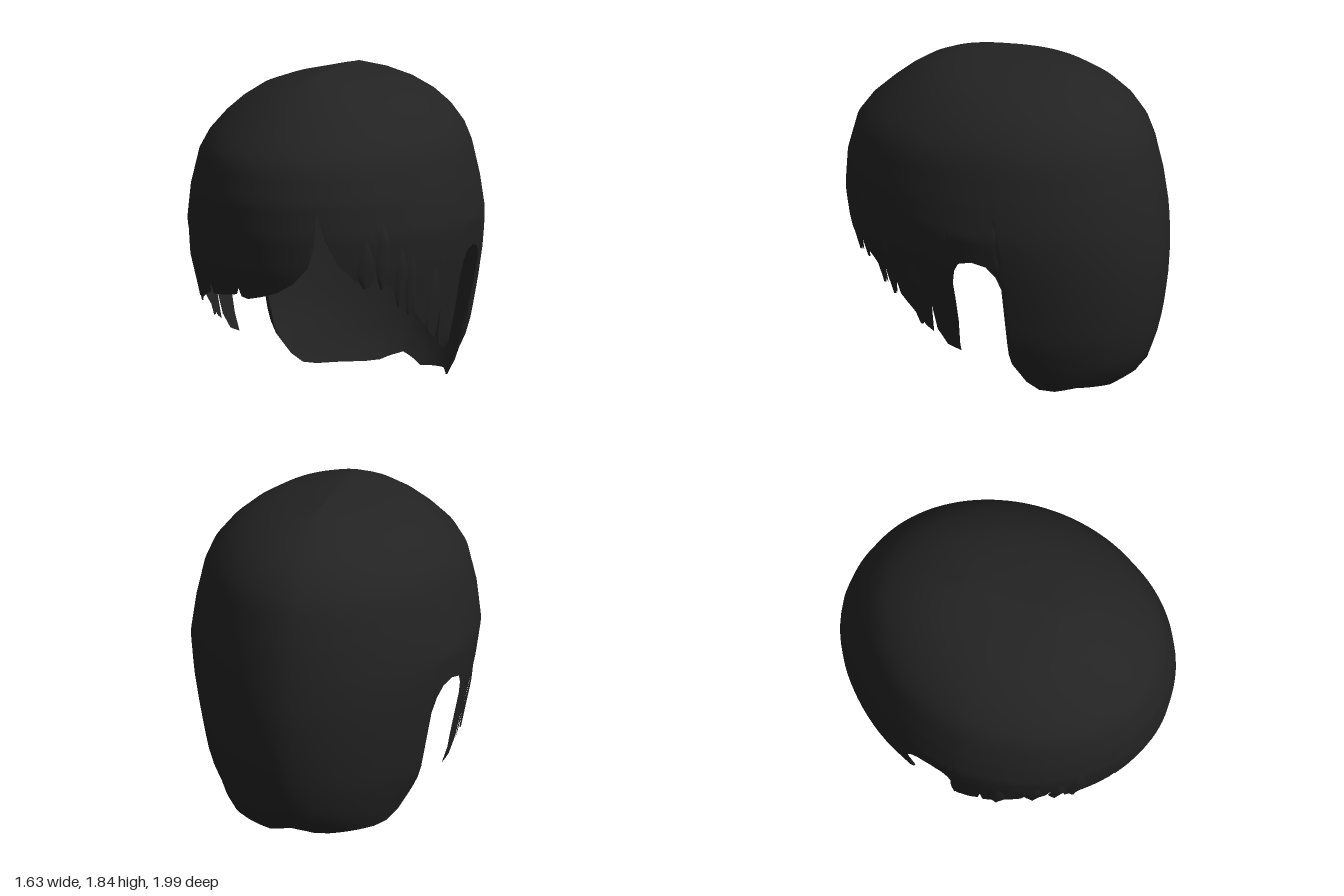
import * as THREE from 'three';

// Horizontal rings from crown down: [height, half width, front depth, back depth]
const RINGS = [
  [1.85, 0, 0.14, 0.27], [1.84, 0.1, 0.3, 0.31], [1.8, 0.28, 0.43, 0.46], [1.75, 0.42, 0.54, 0.58],
  [1.68, 0.53, 0.65, 0.7], [1.6, 0.62, 0.75, 0.79], [1.5, 0.7, 0.86, 0.86], [1.4, 0.745, 0.935, 0.9],
  [1.2, 0.79, 0.99, 0.95], [1.0, 0.817, 1.0, 0.98], [0.8, 0.79, 0.98, 0.995], [0.6, 0.75, 0.93, 0.985],
  [0.45, 0.72, 0.9, 0.965], [0.3, 0.69, 0.87, 0.935], [0.2, 0.635, 0.8, 0.9], [0.1, 0.58, 0.6, 0.86],
  [0, 0.51, 0.29, 0.76],
];

// Hem heights as [angle in degrees, height]; 0 is the front, positive is the left side
const FRINGE = [
  [-56, 0.57], [-53, 0.56], [-52.2, 0.66], [-51, 0.54], [-45, 0.57], [-33, 0.625], [-31.5, 0.68],
  [-30, 0.62], [-20, 0.635], [-13, 0.65], [-11.5, 0.69], [-10.5, 0.64], [-7, 0.63], [0, 0.65], [7.5, 0.68],
  [15, 0.74], [21, 0.83], [23.5, 0.95], [24.9, 1.17], [28.5, 0.98], [33, 0.85], [40, 0.75], [46, 0.7],
  [47, 0.74], [48, 0.88], [49, 0.74], [54, 0.7],
];
// From the temple, round the ear opening, to the lower back corner
const SIDE = [
  [57, 0.66], [57.6, 0.76], [58.5, 0.62], [60.5, 0.57], [61.3, 0.7], [62.5, 0.56], [65, 0.53], [66, 0.6],
  [67, 0.53], [72, 0.46], [78, 0.37], [81, 0.345], [81.8, 0.52], [82.8, 0.37], [86, 0.28], [91, 0.25],
  [92, 0.3], [92.4, 0.45], [92.6, 0.7], [94, 0.78], [96, 0.83], [101, 0.85], [106, 0.83], [109, 0.77],
  [110.6, 0.68], [110.8, 0.2], [112, 0.08], [116, 0.025], [125, 0.01],
];
const BACK_LEFT = [[138, 0.03], [152, 0.02], [163, 0.01], [172, 0.04], [180, 0.065]];
const BACK_RIGHT = [[-180, 0.065], [-172, 0.04], [-167, 0.02], [-157, 0.01]];

function ringAt(y) {
  let i = 0;
  while (i < RINGS.length - 2 && RINGS[i + 1][0] > y) i++;
  const a = RINGS[i], b = RINGS[i + 1];
  const t = (a[0] - y) / (a[0] - b[0]);
  return a.map((v, k) => v + (b[k] - v) * t);
}

// Point on the scalp-shaped shell
function shellPoint(deg, y, lift = 0) {
  const a = THREE.MathUtils.degToRad(deg), s = Math.sin(a), c = Math.cos(a);
  const [, w, f, b] = ringAt(y);
  const k = s < 0 && c < 0 ? 1 - 0.05 * Math.abs(Math.sin(2 * a)) : 1;
  return [(w * k + lift) * s, y, (f - b) / 2 + ((f + b) / 2 * k + lift) * c];
}

// Smooth sheet from columns of points; the last column may join the first
function sheet(columns, closed) {
  const rows = columns[0].length, n = columns.length, index = [];
  for (let i = 0; i < (closed ? n : n - 1); i++) {
    for (let j = 0; j < rows - 1; j++) {
      const a = i * rows + j, d = ((i + 1) % n) * rows + j;
      index.push(a, a + 1, d + 1, a, d + 1, d);
    }
  }
  const g = new THREE.BufferGeometry();
  g.setAttribute('position', new THREE.Float32BufferAttribute(columns.flat(2), 3));
  g.setIndex(index);
  g.computeVertexNormals();
  return g;
}

// Hair cap: fixed rows on the dome, then rows that stretch to the hem
function capGeometry() {
  const mirrored = SIDE.map(([a, y]) => [-a, y]).reverse();
  const hem = [...BACK_RIGHT, ...mirrored, ...FRINGE, ...SIDE, ...BACK_LEFT];
  const dome = [1.85, 1.84, 1.82, 1.8, 1.775, 1.75, 1.715, 1.68, 1.64, 1.6, 1.55, 1.5, 1.45, 1.4, 1.33, 1.26];
  const columns = [];
  for (let i = 0; i < hem.length - 1; i++) {
    const [a0, y0] = hem[i], [a1, y1] = hem[i + 1];
    const steps = Math.max(1, Math.ceil((a1 - a0) / 4));
    for (let s = 0; s < steps; s++) {
      const t = s / steps, deg = a0 + (a1 - a0) * t, low = y0 + (y1 - y0) * t;
      const heights = [...dome];
      for (let r = 0; r <= 14; r++) heights.push(1.2 + (low - 1.2) * r / 14);
      columns.push(heights.map((y) => shellPoint(deg, y)));
    }
  }
  return sheet(columns, true);
}

// Overlapping lock: rooted in the cap, widest midway, tapering to a tip
function lockGeometry(deg, width, top, tip) {
  const columns = [];
  for (let i = 0; i <= 6; i++) {
    const u = i / 3 - 1, column = [];
    for (let j = 0; j <= 10; j++) {
      const v = j / 10;
      const half = width / 2 * Math.sin(Math.PI * (0.06 + 0.88 * Math.pow(v, 1.4)));
      const lift = -0.004 + 0.016 * Math.min(1, v * 3) * (1 - 0.5 * u * u);
      column.push(shellPoint(deg + u * half, top + (tip - top) * v, lift));
    }
    columns.push(column);
  }
  return sheet(columns, false);
}

export function createModel() {
  const model = new THREE.Group();
  model.name = 'hair';
  const black = new THREE.MeshStandardMaterial({ color: 0x232323, side: THREE.DoubleSide });
  black.name = 'black hair';
  const add = (name, geometry) => {
    const mesh = new THREE.Mesh(geometry, black);
    mesh.name = name;
    model.add(mesh);
  };

  add('hairCap', capGeometry());

  // Loose locks over the fringe and temples
  const locks = [
    [-48, 7, 1.1, 0.54], [-55, 6, 0.95, 0.55], [-63, 6, 0.9, 0.52], [-76, 7, 0.8, 0.38],
    [44, 7, 1.0, 0.7], [51, 6, 1.12, 0.69], [59, 5, 0.95, 0.57], [64, 5, 0.9, 0.52], [76, 7, 0.8, 0.38],
  ];
  for (const [deg, width, top, tip] of locks) {
    add(deg < 0 ? 'rightLock' : 'leftLock', lockGeometry(deg, width, top, tip));
  }
  return model;
}
